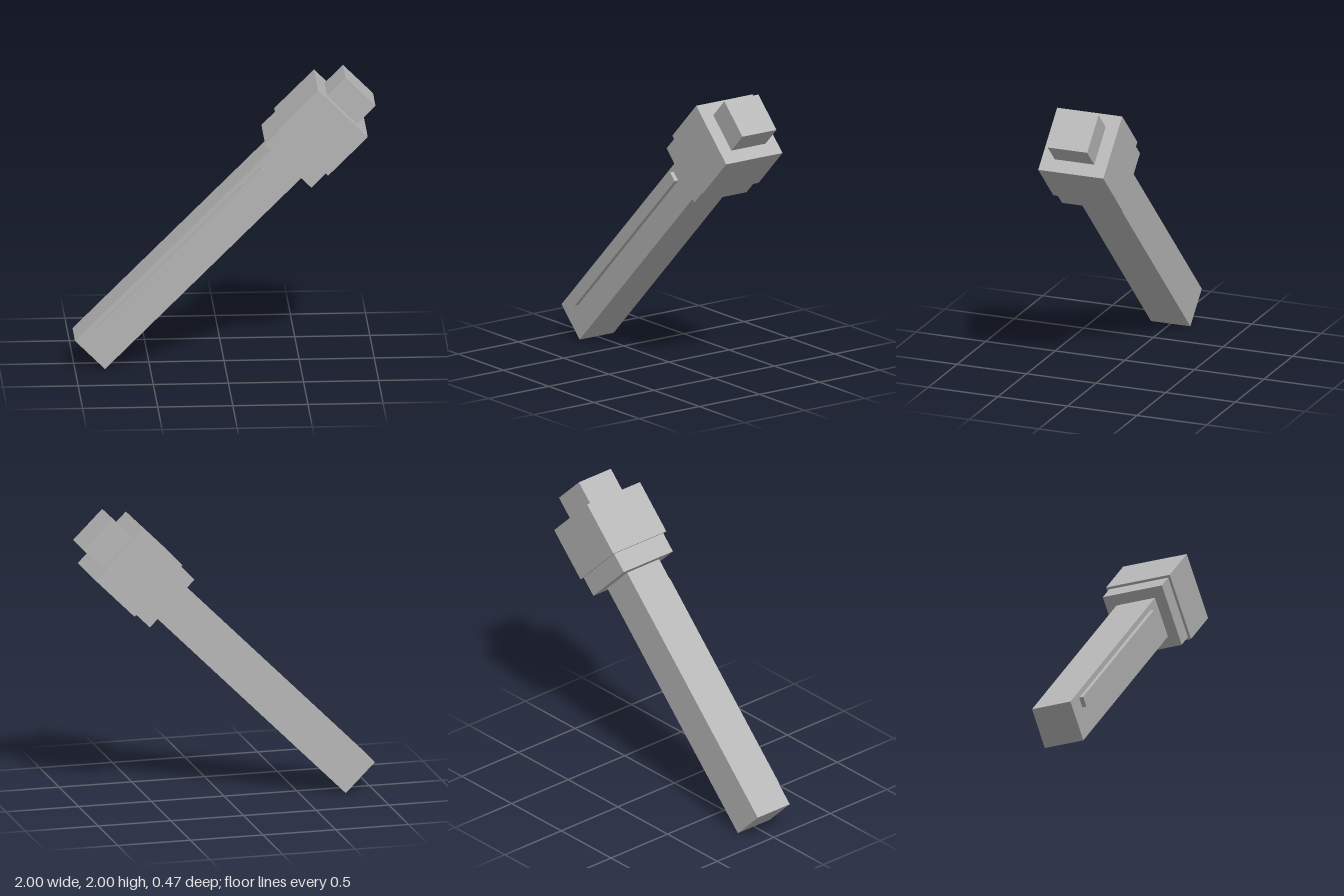
import * as THREE from 'three';

export function createModel() {
  const model = new THREE.Group();
  const grey = new THREE.MeshStandardMaterial({ color: 0xb4b4b4 });
  grey.name = 'grey';

  // Built lying along x, then tilted 45 degrees about the middle of the shaft
  const baton = new THREE.Group();
  baton.name = 'baton';
  baton.position.y = 1;
  baton.rotation.z = Math.PI / 4;
  model.add(baton);

  // Box from x0 to x1 along the shaft, with its height, depth and offsets
  function addBlock(name, x0, x1, height, depth, y = 0, z = 0) {
    const mesh = new THREE.Mesh(new THREE.BoxGeometry(x1 - x0, height, depth), grey);
    mesh.name = name;
    mesh.position.set((x0 + x1) / 2, y, z);
    baton.add(mesh);
  }

  addBlock('shaft', -1.273, 0.6, 0.283, 0.283);
  addBlock('collar', 0.587, 0.727, 0.434, 0.434);
  addBlock('head', 0.726, 1.1, 0.468, 0.468);
  addBlock('tip', 1.09, 1.273, 0.283, 0.283);
  // Raised strip on the front of the shaft
  addBlock('strip', -1.117, 0.445, 0.071, 0.04, 0.071, 0.151);

  return model;
}
